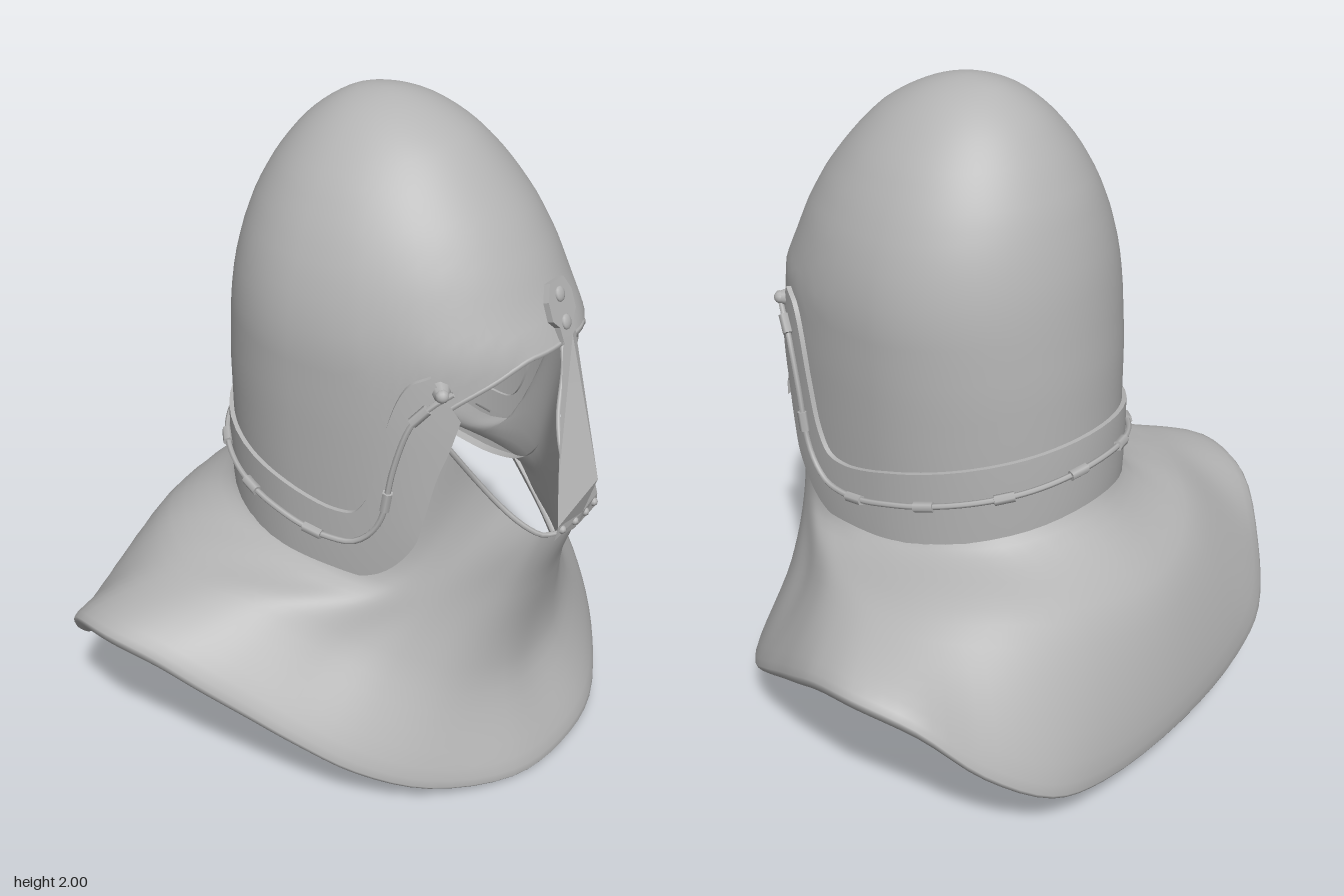
import * as THREE from 'three';
import { mergeVertices, toCreasedNormals } from 'three/addons/utils/BufferGeometryUtils.js';

const V = (x, y, z) => new THREE.Vector3(x, y, z);

// Linear lookup in rows [key, a, b, ...] with rising keys
function lookup(table, key) {
  let i = 0;
  while (i < table.length - 2 && key > table[i + 1][0]) i++;
  const a = table[i], b = table[i + 1];
  const t = THREE.MathUtils.clamp((key - a[0]) / (b[0] - a[0]), 0, 1);
  return a.slice(1).map((v, k) => v + (b[k + 1] - v) * t);
}

// Skull sections: [y, half width, back z, front z], keyed by sqrt(2 - y)
const SECTIONS = [
  [2, 0, 0.04, 0.04], [1.99, 0.07, -0.05, 0.12], [1.96, 0.145, -0.115, 0.205], [1.9, 0.225, -0.195, 0.31],
  [1.8, 0.315, -0.275, 0.41], [1.7, 0.375, -0.33, 0.49], [1.6, 0.418, -0.365, 0.55], [1.5, 0.445, -0.39, 0.597],
  [1.4, 0.458, -0.405, 0.65], [1.2, 0.455, -0.425, 0.67], [1, 0.445, -0.43, 0.69], [0.84, 0.435, -0.43, 0.71],
  [0.65, 0.43, -0.43, 0.68],
].map(([y, ...r]) => [Math.sqrt(2 - y), ...r]);

// Point on the head surface: phi in degrees from the front, pushed outward by off;
// pinch narrows the cheeks toward the chin below the brow
function surf(phi, y, off = 0, pinch = 0) {
  const [w, zb, zf] = lookup(SECTIONS, Math.sqrt(Math.max(0, 2 - y)));
  const p = THREE.MathUtils.degToRad(phi), s = Math.sin(p), c = Math.cos(p), mid = 0.04;
  const k = pinch * THREE.MathUtils.clamp((1.25 - y) * 4, 0, 1) * THREE.MathUtils.smoothstep(c, 0.58, 0.8);
  return V(w * s * (1 - k) + off * s, y, mid + c * (c > 0 ? zf - mid : mid - zb) + off * c);
}

// Surface from a point function; u runs around, v runs downward
function grid(fn, nu, nv) {
  const pos = [], index = [], n = nu + 1;
  for (let j = 0; j <= nv; j++) for (let i = 0; i <= nu; i++) pos.push(...fn(i / nu, j / nv).toArray());
  for (let j = 0; j < nv; j++) for (let i = 0; i < nu; i++) {
    const a = j * n + i;
    index.push(a, a + n, a + 1, a + 1, a + n, a + n + 1);
  }
  let g = new THREE.BufferGeometry();
  g.setAttribute('position', new THREE.Float32BufferAttribute(pos, 3));
  g.setIndex(index);
  g = mergeVertices(g, 1e-5);
  g.computeVertexNormals();
  return g;
}

// Closed curve from the points of the left half, front to back
const ring = (half) => new THREE.CatmullRomCurve3(
  [...half, ...half.slice(1, -1).reverse().map((p) => V(-p.x, p.y, p.z))], true);

// Open (phi, y) path from the left front around the back to the right front
const arc = (half) => new THREE.CatmullRomCurve3(
  [...half, ...half.slice(0, -1).reverse().map(([p, y]) => [360 - p, y])].map(([p, y]) => V(p, y, 0)));

export function createModel() {
  const group = new THREE.Group();
  const steel = new THREE.MeshStandardMaterial({ color: 0xb4b4b4, side: THREE.DoubleSide });
  steel.name = 'steel grey';
  const add = (geo, name, parent = group) => {
    const m = new THREE.Mesh(geo, steel);
    m.name = name;
    parent.add(m);
    return m;
  };

  // Skull with an arched brow, ending under the band
  const skullEdge = [[0, 1.4], [20, 1.385], [35, 1.32], [45, 1.27], [54, 1.2], [62, 1.02],
    [66, 0.88], [75, 0.82], [96, 0.83], [180, 0.93]];
  add(grid((u, v) => {
    const phi = u * 360;
    const s = v * Math.sqrt(2 - lookup(skullEdge, Math.min(phi, 360 - phi))[0]);
    return surf(phi, 2 - s * s);
  }, 96, 32), 'skull');

  // Thick brow edge
  const brow = [];
  for (let p = -48; p <= 48; p += 6) brow.push(surf(p, lookup(skullEdge, Math.abs(p))[0], -0.008));
  add(new THREE.TubeGeometry(new THREE.CatmullRomCurve3(brow), 40, 0.011, 6), 'browEdge');

  // Shoulder cape: face opening and neck edge, neck, shoulder, rim
  const edge = [[0, 0.815], [20, 0.82], [26, 0.84], [32, 0.875], [38, 0.925], [43, 1.01], [47, 1.14],
    [52, 1.24], [61, 1.06], [66, 0.88], [80, 0.8], [96, 0.83], [125, 0.87], [180, 0.93]]
    .map(([p, y]) => surf(p, y, 0, 0.36));
  const neck = [[0, 0.6, 0.63], [0.13, 0.6, 0.605], [0.23, 0.62, 0.54], [0.305, 0.64, 0.475], [0.355, 0.66, 0.415],
    [0.387, 0.68, 0.36], [0.405, 0.69, 0.305], [0.42, 0.7, 0.24], [0.43, 0.71, 0.16], [0.433, 0.715, 0.07],
    [0.432, 0.72, -0.03], [0.392, 0.745, -0.17], [0.285, 0.77, -0.325], [0, 0.8, -0.44]];
  const shoulder = [[0, 0.3, 0.6], [0.15, 0.32, 0.59], [0.33, 0.38, 0.52], [0.45, 0.45, 0.4], [0.52, 0.51, 0.28],
    [0.58, 0.57, 0.18], [0.63, 0.615, 0.08], [0.66, 0.64, -0.02], [0.68, 0.65, -0.13], [0.66, 0.65, -0.26],
    [0.58, 0.645, -0.38], [0.46, 0.63, -0.5], [0.29, 0.59, -0.61], [0, 0.55, -0.675]];
  const rim = [[0, 0.015, 0.72], [0.23, 0.03, 0.69], [0.48, 0.09, 0.55], [0.64, 0.19, 0.4], [0.74, 0.3, 0.25],
    [0.8, 0.38, 0.13], [0.86, 0.46, 0], [0.9, 0.52, -0.12], [0.925, 0.55, -0.28], [0.87, 0.5, -0.46],
    [0.75, 0.34, -0.6], [0.58, 0.21, -0.71], [0.38, 0.155, -0.75], [0, 0.14, -0.775]];
  const rings = [edge, ...[neck, shoulder, rim].map((t) => t.map((p) => V(...p)))].map(ring);
  // The rim curls under, most on the raised sides, and a short lining runs back up
  const inset = (p, k, dy) => V(p.x * k, p.y + dy, p.z * k);
  add(grid((u, v) => {
    const [e, n, s, r] = rings.map((c) => c.getPoint(u));
    return new THREE.CatmullRomCurve3([e, n, s, r, inset(r, 0.965, -0.01 - 0.08 * r.y), inset(r, 0.92, 0.02 - 0.06 * r.y),
      inset(r.clone().lerp(s, 0.4), 0.96, -0.02)]).getPoint(v);
  }, 104, 42), 'shoulderCape');

  // Rolled edge of the face opening
  const opening = [...edge.slice(1, 8).reverse().map((p) => V(-p.x, p.y, p.z)), ...edge.slice(0, 8)];
  add(new THREE.TubeGeometry(new THREE.CatmullRomCurve3(opening), 60, 0.008, 6), 'faceOpeningEdge');

  // Raised band sweeping from the temples around the nape
  const bandTop = arc([[49.5, 1.37], [56.6, 1.33], [61, 1.24], [64.3, 1.12], [67.5, 1], [71.5, 0.92],
    [77.5, 0.9], [96, 0.94], [140, 1.01], [180, 1.04]]);
  const bandBottom = arc([[42, 1.24], [45.5, 1.15], [49.5, 1.06], [53, 0.95], [57, 0.83], [64, 0.73],
    [77.5, 0.68], [96, 0.7], [140, 0.77], [180, 0.81]]);
  const bandRows = [[0, -0.01], [0, 0.014], [0.25, 0.016], [0.5, 0.016], [0.75, 0.016], [1, 0.014], [1, -0.02]];
  add(toCreasedNormals(grid((u, v) => {
    const [k, off] = bandRows[Math.round(v * 6)];
    const p = bandTop.getPoint(u).lerp(bandBottom.getPoint(u), k);
    return surf(p.x, p.y, off);
  }, 108, 6), 0.7), 'band');

  // Rod lying on the band, held by sleeves
  const rodPath = arc([[44, 1.33], [50, 1.29], [56, 1.22], [61, 1.08], [64.5, 0.93], [71, 0.83],
    [80, 0.81], [96, 0.84], [140, 0.91], [180, 0.95]]);
  const rod = new THREE.CatmullRomCurve3(rodPath.getPoints(90).map((p) => surf(p.x, p.y, 0.026)));
  add(new THREE.TubeGeometry(rod, 120, 0.009, 6), 'rod');
  const sleeve = new THREE.CylinderGeometry(0.016, 0.016, 0.06, 6);
  for (const t of [0.035, 0.13, 0.235, 0.315, 0.39, 0.465]) for (const u of [t, 1 - t]) {
    const m = add(sleeve, 'sleeve');
    m.position.copy(rod.getPointAt(u));
    m.quaternion.setFromUnitVectors(V(0, 1, 0), rod.getTangentAt(u));
  }

  // Turning pins at the temples
  for (const side of [1, -1]) {
    const pin = new THREE.Group();
    pin.name = side > 0 ? 'leftPin' : 'rightPin';
    pin.position.copy(surf(side * 47, 1.325, 0.012));
    pin.quaternion.setFromUnitVectors(V(0, 1, 0), V(side * 0.72, 0, 0.69).normalize());
    add(new THREE.CylinderGeometry(0.02, 0.03, 0.03, 8), 'pinShaft', pin);
    add(new THREE.SphereGeometry(0.02, 10, 8), 'pinKnob', pin).position.y = 0.014;
    group.add(pin);
  }

  // Ridged nose guard: rows [y, half width, edge z, ridge z]
  const guardRows = [[1.42, 0.032, 0.655, 0.665], [1, 0.09, 0.7, 0.775], [0.875, 0.112, 0.72, 0.735],
    [0.83, 0.12, 0.715, 0.725]];
  add(toCreasedNormals(grid((u, v) => {
    const [y, w, ze, zr] = guardRows[Math.round(v * 3)];
    const k = Math.round(u * 2) - 1;
    return V(k * w, y, k ? ze : zr);
  }, 2, 3), 0.1), 'noseGuard');
  const rivet = new THREE.SphereGeometry(0.013, 8, 6);
  for (const x of [-0.09, -0.03, 0.03, 0.09]) {
    add(rivet, 'guardRivet').position.set(x, 0.858, 0.73 - Math.abs(x) * 0.1);
  }

  // Tilted mounting tab at the brow
  const tab = new THREE.Group();
  tab.name = 'noseGuardTab';
  const outline = [[0.032, 0], [0.035, 0.05], [0.06, 0.075], [0.06, 0.13], [0.035, 0.175]];
  const shape = new THREE.Shape([...outline, ...outline.slice().reverse().map(([x, y]) => [-x, y])]
    .map(([x, y]) => new THREE.Vector2(x, y)));
  add(new THREE.ExtrudeGeometry(shape, { depth: 0.018, bevelEnabled: false }), 'tabPlate', tab);
  for (const y of [0.055, 0.135]) {
    const m = add(new THREE.SphereGeometry(0.022, 10, 8), 'tabRivet', tab);
    m.position.set(0, y, 0.018);
    m.scale.z = 0.4;
  }
  tab.position.set(0, 1.395, 0.643);
  tab.rotation.x = -0.32;
  group.add(tab);
  return group;
}
